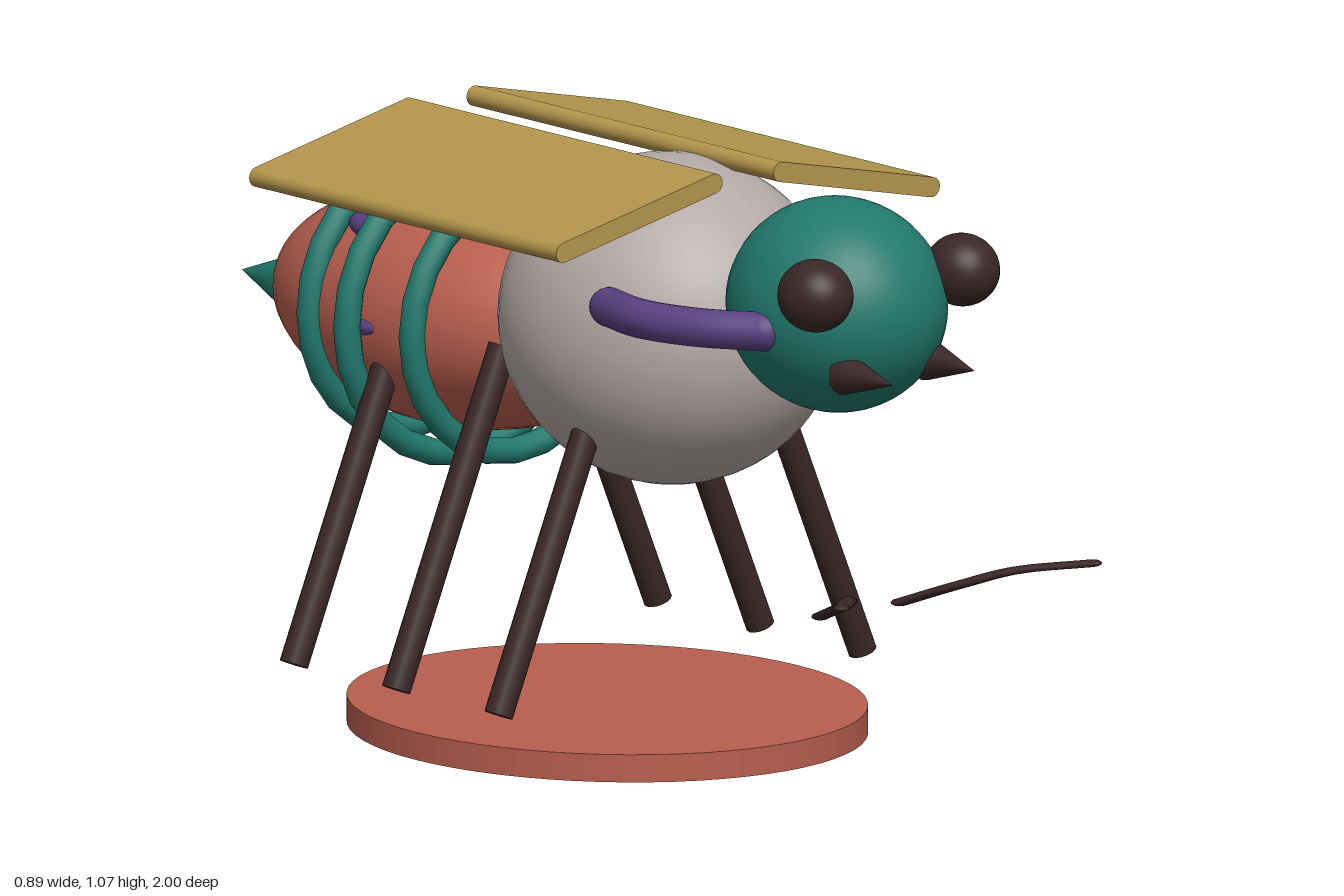
import * as THREE from 'three';

const paint = (name, color) => {
  const m = new THREE.MeshStandardMaterial({ color });
  m.name = name;
  return m;
};
const V = (x, y, z) => new THREE.Vector3(x, y, z);

export function createModel() {
  const model = new THREE.Group();
  model.name = 'bee';
  const teal = paint('teal', 0x21796d);
  const coral = paint('coral', 0xb85e4e);
  const grey = paint('warmGrey', 0xb3a9a6);
  const dark = paint('darkBrown', 0x3a2627);
  const purple = paint('purple', 0x594080);
  const gold = paint('gold', 0xb3954c);

  const add = (name, geometry, material, x = 0, y = 0, z = 0) => {
    const mesh = new THREE.Mesh(geometry, material);
    mesh.name = name;
    mesh.position.set(x, y, z);
    model.add(mesh);
    return mesh;
  };
  const ellipsoid = (name, material, c, r) =>
    add(name, new THREE.SphereGeometry(1, 40, 28).scale(...r), material, ...c);

  // Oval stand
  add('base', new THREE.CylinderGeometry(1, 1, 0.05, 64).scale(0.44, 1, 0.49), coral, 0, 0.025, 0);

  // Body
  ellipsoid('thorax', grey, [0, 0.768, 0.17], [0.293, 0.295, 0.32]);
  ellipsoid('head', teal, [0, 0.868, 0.628], [0.19, 0.192, 0.207]);
  ellipsoid('abdomen', coral, [0, 0.695, -0.4], [0.245, 0.21, 0.428]);

  // Rings around the abdomen
  [[-0.255, 0.237, 1], [-0.395, 0.262, 1.03], [-0.535, 0.237, 1]].forEach(([z, r, sx]) =>
    add('abdomenRing', new THREE.TorusGeometry(r, 0.024, 12, 24).scale(sx, 1, 1), teal, 0, 0.695, z));

  // Stinger
  add('stinger', new THREE.ConeGeometry(0.073, 0.205, 24).rotateX(-Math.PI / 2), teal, 0, 0.663, -0.8975);

  // Rounded-edge wing section, drawn around the origin
  const half = 0.179, t = 0.018;
  const section = new THREE.Shape();
  section.moveTo(-half, -t);
  section.lineTo(half, -t);
  section.absarc(half, 0, t, -Math.PI / 2, Math.PI / 2, false);
  section.lineTo(-half, t);
  section.absarc(-half, 0, t, Math.PI / 2, Math.PI * 1.5, false);
  const wingGeometry = new THREE.ExtrudeGeometry(section, { depth: 0.84, bevelEnabled: false, curveSegments: 10 });

  for (const s of [1, -1]) {
    const side = s > 0 ? 'left' : 'right';

    // Wings slope down outwards
    add(side + 'Wing', wingGeometry, gold, s * 0.252, 1.018, -0.455).rotation.z = -s * 0.215;

    // Face
    ellipsoid(side + 'Eye', dark, [s * 0.17, 0.93, 0.77], [0.065, 0.065, 0.071]);
    add(side + 'Mandible', new THREE.ConeGeometry(0.038, 0.13, 16).rotateX(Math.PI / 2), dark,
      s * 0.095, 0.777, 0.828);

    // Curved arm with rounded ends
    const armPoints = [V(s * 0.18, 0.845, 0.64), V(s * 0.245, 0.845, 0.54),
      V(s * 0.275, 0.845, 0.42), V(s * 0.255, 0.845, 0.305)];
    add(side + 'Arm', new THREE.TubeGeometry(new THREE.CatmullRomCurve3(armPoints), 32, 0.035, 16), purple);
    for (const p of [armPoints[0], armPoints[3]])
      add(side + 'ArmEnd', new THREE.SphereGeometry(0.035, 16, 12), purple, p.x, p.y, p.z);

    // Flattened feeler, closed by small end balls
    const flat = 0.4;
    const feelerPoints = [[0.092, 0.325, 0.69], [0.135, 0.372, 0.81], [0.195, 0.402, 0.89], [0.293, 0.417, 0.985]]
      .map(([x, y, z]) => V(s * x, y / flat, z));
    const feeler = new THREE.TubeGeometry(new THREE.CatmullRomCurve3(feelerPoints), 24, 0.016, 10);
    add(side + 'Feeler', feeler.scale(1, flat, 1), dark);
    for (const p of [feelerPoints[0], feelerPoints[3]])
      add(side + 'FeelerEnd', new THREE.SphereGeometry(0.015, 10, 8).scale(1, flat, 1), dark, p.x, p.y * flat, p.z);

    // Three splayed legs
    for (const z of [0.2, -0.08, -0.36]) {
      const foot = V(s * 0.422, 0.112, z), hip = V(s * 0.175, 0.7, z);
      const dir = hip.clone().sub(foot);
      const mid = foot.clone().add(hip).multiplyScalar(0.5);
      add(side + 'Leg', new THREE.CylinderGeometry(0.026, 0.026, dir.length(), 16), dark, mid.x, mid.y, mid.z)
        .quaternion.setFromUnitVectors(V(0, 1, 0), dir.normalize());
    }

    // Spots on the abdomen
    ellipsoid(side + 'UpperSpot', purple, [s * 0.157, 0.855, -0.465], [0.032, 0.025, 0.042]);
    ellipsoid(side + 'SideSpot', purple, [s * 0.233, 0.694, -0.395], [0.02, 0.017, 0.05]);
  }
  return model;
}
